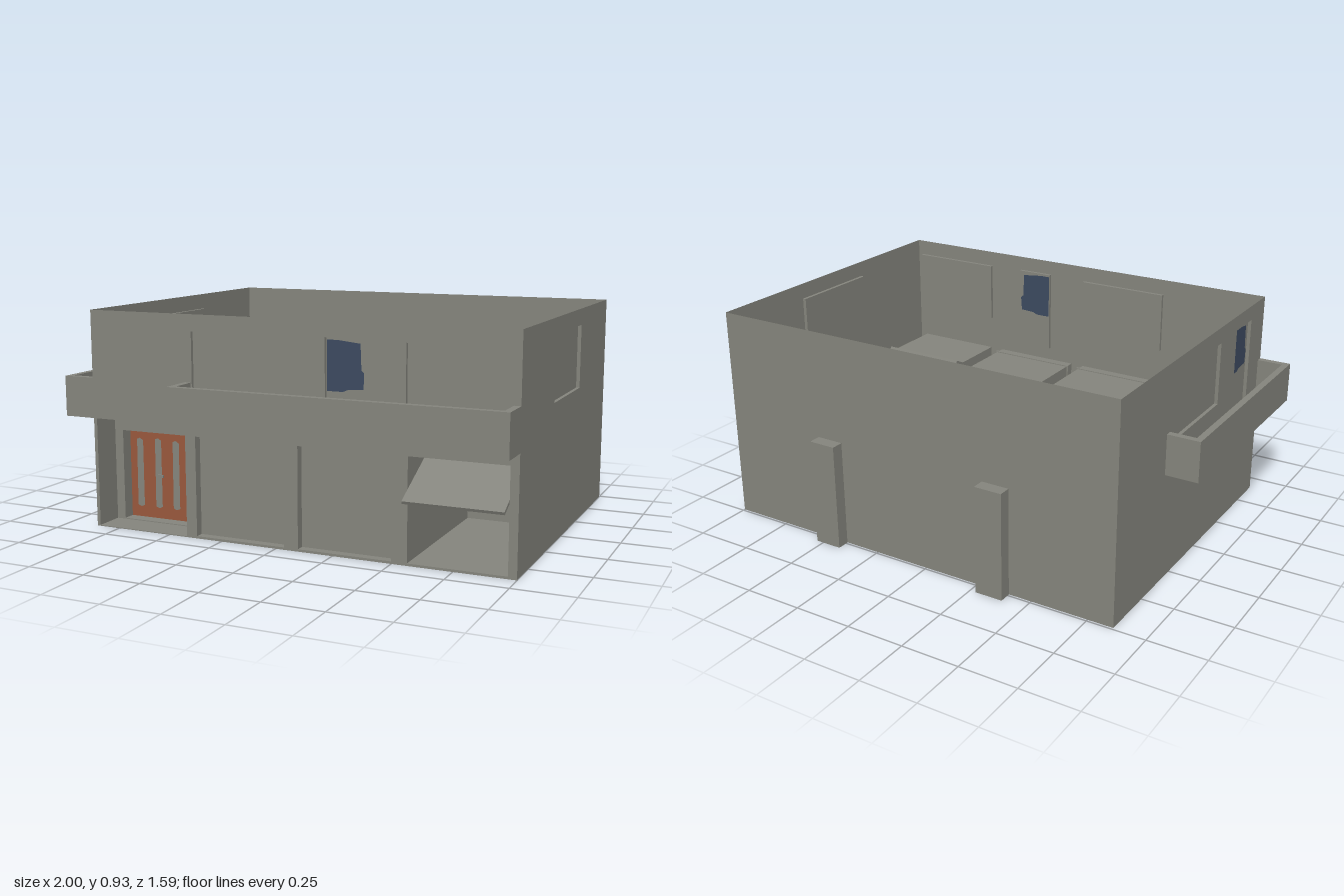
import * as THREE from 'three';

const mat = (name, color) => {
  const m = new THREE.MeshStandardMaterial({ color, side: THREE.DoubleSide });
  m.name = name;
  return m;
};

export function createModel() {
  const grey = mat('concrete grey', 0x85857d);
  const orange = mat('door orange', 0x99583c);
  const blue = mat('glass blue', 0x3c4a60);

  const add = (parent, name, geo, material = grey, x = 0, y = 0, z = 0) => {
    const mesh = new THREE.Mesh(geo, material);
    mesh.name = name;
    mesh.position.set(x, y, z);
    parent.add(mesh);
    return mesh;
  };
  const group = (parent, name) => {
    const g = new THREE.Group();
    g.name = name;
    parent.add(g);
    return g;
  };
  // Rectangles are [x0, x1, y0, y1]
  const points = ([x0, x1, y0, y1]) =>
    [[x0, y0], [x1, y0], [x1, y1], [x0, y1]].map(p => new THREE.Vector2(...p));
  const poly = list => list.map(p => new THREE.Vector2(...p));
  const sheet = (outline, holes = []) => {
    const s = new THREE.Shape(outline);
    s.holes = holes.map(h => new THREE.Path(h));
    return new THREE.ShapeGeometry(s);
  };
  const box = (parent, name, x0, x1, y0, y1, z0, z1) =>
    add(parent, name, new THREE.BoxGeometry(x1 - x0, y1 - y0, z1 - z0), grey,
      (x0 + x1) / 2, (y0 + y1) / 2, (z0 + z1) / 2);
  // Box going inward from a wall, open at the front and optionally at the back
  const niche = (parent, name, [x0, x1, y0, y1], zBack, zFront, back = true) => {
    const mesh = box(parent, name, x0, x1, y0, y1, zBack, zFront);
    const index = Array.from(mesh.geometry.index.array);
    mesh.geometry.setIndex(index.slice(0, 24).concat(back ? index.slice(30) : []));
    mesh.geometry.clearGroups();
  };
  // Balcony door: grey leaf with an irregular blue pane let into its upper part
  const balconyDoor = (parent, [x0, x1, y0, y1], zFront) => {
    const z = zFront - 0.015;
    niche(parent, 'balconyDoorFrame', [x0, x1, y0, y1], z, zFront, false);
    const pane = poly([[0.003, 0.655], [0.07, 0.655], [0.09, 0.664], [0.155, 0.668], [0.16, 0.73],
      [0.147, 0.742], [0.143, 0.845], [0.05, 0.855], [0.003, 0.855]].map(([x, y]) => [x0 + x, y]));
    add(parent, 'balconyDoorLeaf', sheet(points([x0, x1, y0, y1]), [pane]), grey, 0, 0, z);
    add(parent, 'balconyDoorPane', sheet(pane), blue, 0, 0, z);
  };
  // Parapet of three rails around a floor slab, standing out from a wall
  const balcony = (parent, x0, x1, y0, y1, z0, z1) => {
    const g = group(parent, 'balcony'), t = 0.028;
    box(g, 'balconyFloor', x0, x1, y0, y0 + 0.012, z0, z1);
    box(g, 'frontRail', x0, x1, y0 + 0.012, y1, z1 - t, z1);
    box(g, 'endRail', x0, x0 + t, y0 + 0.012, y1, z0, z1 - t);
    box(g, 'endRail', x1 - t, x1, y0 + 0.012, y1, z0, z1 - t);
  };

  const model = new THREE.Group();
  model.name = 'house';

  // Front wall
  const FZ = 0.65;
  const front = group(model, 'front');
  const windows = [[-0.375, 0.04, 0.59, 0.86], [0.555, 0.975, 0.59, 0.86]];
  const garages = [[-0.365, 0.037, 0.01, 0.43], [0.1, 0.5, 0.01, 0.43], [0.565, 0.965, 0.01, 0.43]];
  const door = [0.22, 0.385, 0.49, 0.865];
  const porch = [-0.845, -0.413, 0.004, 0.47];
  add(front, 'frontWall', sheet(points([-0.86, 1, 0, 0.93]),
    [...windows, ...garages, door, porch].map(points)), grey, 0, 0, FZ);
  windows.forEach(r => niche(front, 'window', r, FZ - 0.015, FZ));
  balconyDoor(front, door, FZ);
  balcony(front, -0.408, 1, 0.478, 0.652, FZ, 0.79);

  // Garages: two closed doors and one tilted open through the ceiling
  garages.forEach((r, i) => {
    niche(front, 'garage', r, -0.085, FZ);
    if (i < 2) box(front, 'garageDoor', r[0] - 0.008, r[1] + 0.008, r[2], r[3] + 0.004, 0.6, 0.613);
  });
  const dz = 0.38, dy = 0.185;
  const openDoor = add(front, 'openGarageDoor',
    new THREE.BoxGeometry(0.4, 0.013, Math.hypot(dz, dy)), grey, 0.765, 0.357, 0.522);
  openDoor.rotation.x = Math.atan2(dy, dz);

  // Entrance porch with an inner door niche
  const entry = group(model, 'entrance');
  const leaf = [-0.805, -0.45, 0.008, 0.4];
  niche(entry, 'porch', porch, 0.52, FZ, false);
  add(entry, 'porchBack', sheet(points(porch), [points(leaf)]), grey, 0, 0, 0.52);
  niche(entry, 'doorFrame', leaf, 0.465, 0.52, false);
  const slots = [[-0.757, 0.36], [-0.665, 0.365], [-0.576, 0.36], [-0.505, 0.35]].map(([x, top]) =>
    poly([[x - 0.016, 0.06], [x, 0.053], [x + 0.017, 0.06], [x + 0.017, top - 0.01],
      [x, top], [x - 0.014, top - 0.006]]));
  add(entry, 'doorLeaf', sheet(points(leaf), slots), orange, 0, 0, 0.465);
  slots.forEach(s => add(entry, 'doorPane', sheet(s), grey, 0, 0, 0.465));
  box(entry, 'doorHandle', -0.665, -0.638, 0.192, 0.204, 0.465, 0.472);

  // Left wall: local x runs along world z, local z points outward
  const left = group(model, 'left');
  left.rotation.y = -Math.PI / 2;
  const sideWindow = [-0.255, 0.17, 0.59, 0.86], sideDoor = [0.337, 0.502, 0.49, 0.865];
  add(left, 'leftWall', sheet(points([-0.74, FZ, 0, 0.93]),
    [points(sideWindow), points(sideDoor)]), grey, 0, 0, 0.86);
  niche(left, 'window', sideWindow, 0.845, 0.86);
  balconyDoor(left, sideDoor, 0.86);
  balcony(left, -0.333, FZ, 0.47, 0.643, 0.86, 1);

  // Right wall: local x runs along negative world z
  const right = group(model, 'right');
  right.rotation.y = Math.PI / 2;
  const rightWindow = [-0.17, 0.255, 0.59, 0.86];
  add(right, 'rightWall', sheet(points([-FZ, 0.74, 0, 0.93]), [points(rightWindow)]), grey, 0, 0, 1);
  niche(right, 'window', rightWindow, 0.985, 1);

  // Back wall with two buttresses
  const back = group(model, 'back');
  add(back, 'backWall', sheet(points([-0.86, 1, 0, 0.93])), grey, 0, 0, -0.74);
  [[-0.398, -0.277], [0.412, 0.532]].forEach(([a, b]) =>
    box(back, 'buttress', a, b, 0, 0.465, -0.795, -0.741));

  return model;
}
